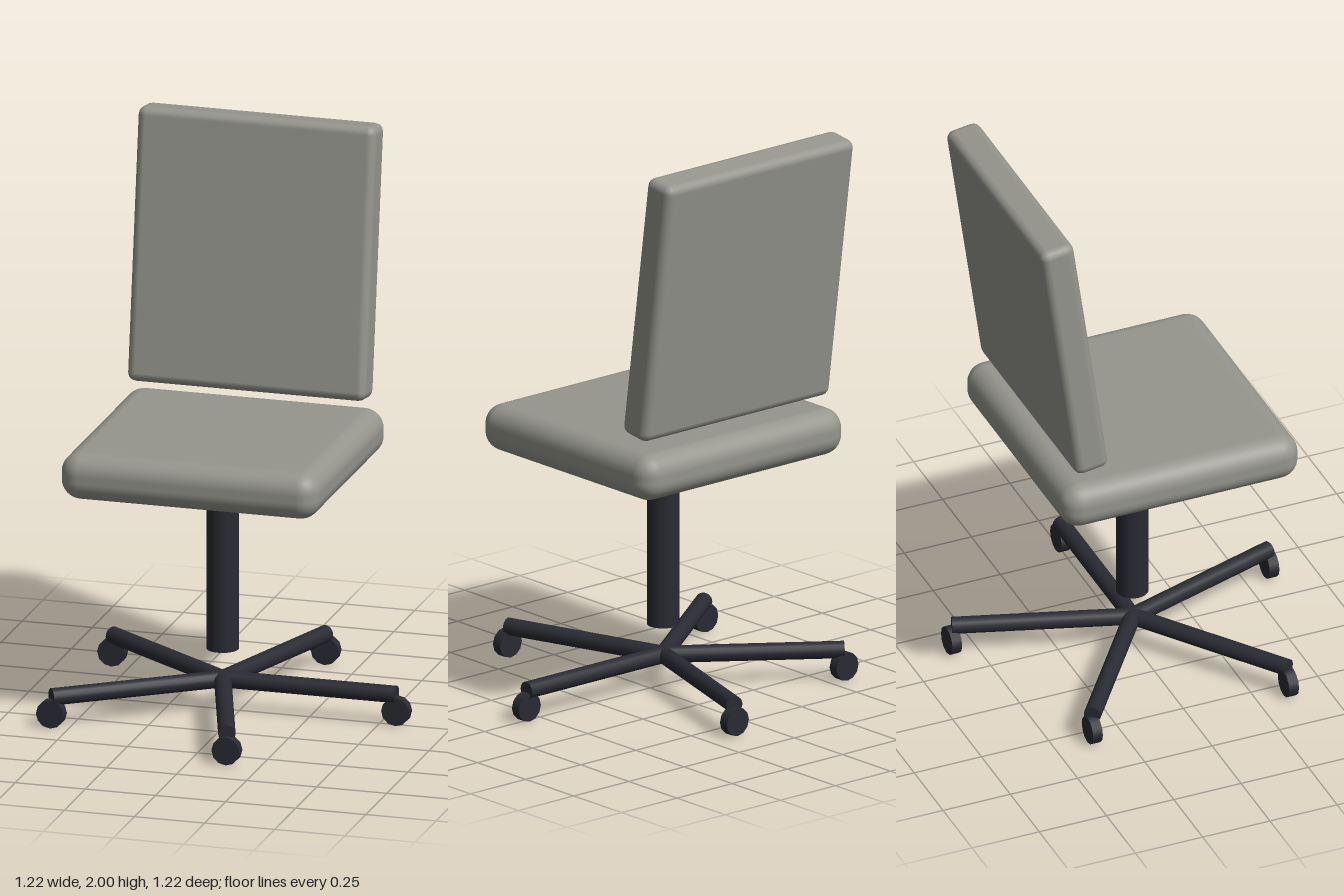
import * as THREE from 'three';
import { RoundedBoxGeometry } from 'three/addons/geometries/RoundedBoxGeometry.js';

export function createModel() {
  const model = new THREE.Group();
  model.name = 'officeChair';
  const fabric = new THREE.MeshStandardMaterial({ color: 0x96968e });
  const metal = new THREE.MeshStandardMaterial({ color: 0x2a2b33 });

  const add = (name, geometry, material, x, y, z) => {
    const mesh = new THREE.Mesh(geometry, material);
    mesh.name = name;
    mesh.position.set(x, y, z);
    model.add(mesh);
    return mesh;
  };

  const axisX = -0.06; // the column and base sit slightly off centre

  // Cushions
  add('seat', new RoundedBoxGeometry(0.92, 0.165, 0.88, 5, 0.07), fabric, axisX, 0.918, 0);
  const back = add('backrest', new RoundedBoxGeometry(0.85, 0.955, 0.125, 2, 0.03), fabric, axisX, 1.521, -0.391);
  back.rotation.x = -0.14;

  // Column, ending above the base
  add('column', new THREE.CylinderGeometry(0.056, 0.056, 0.63, 24), metal, axisX, 0.535, 0);

  // Five-spoke base; every caster faces the same way
  const legLength = 0.62;
  const legGeometry = new THREE.CylinderGeometry(0.03, 0.03, legLength, 16)
    .rotateZ(-Math.PI / 2)
    .translate(legLength / 2, 0, 0);
  const casterGeometry = new THREE.CylinderGeometry(0.05, 0.05, 0.036, 12).rotateX(Math.PI / 2);
  for (let i = 0; i < 5; i++) {
    const angle = (i * Math.PI * 2) / 5;
    const leg = add('leg' + (i + 1), legGeometry, metal, axisX, 0.11, 0);
    leg.rotation.y = -angle;
    add('caster' + (i + 1), casterGeometry, metal,
      axisX + Math.cos(angle) * legLength, 0.052, Math.sin(angle) * legLength);
  }
  return model;
}
